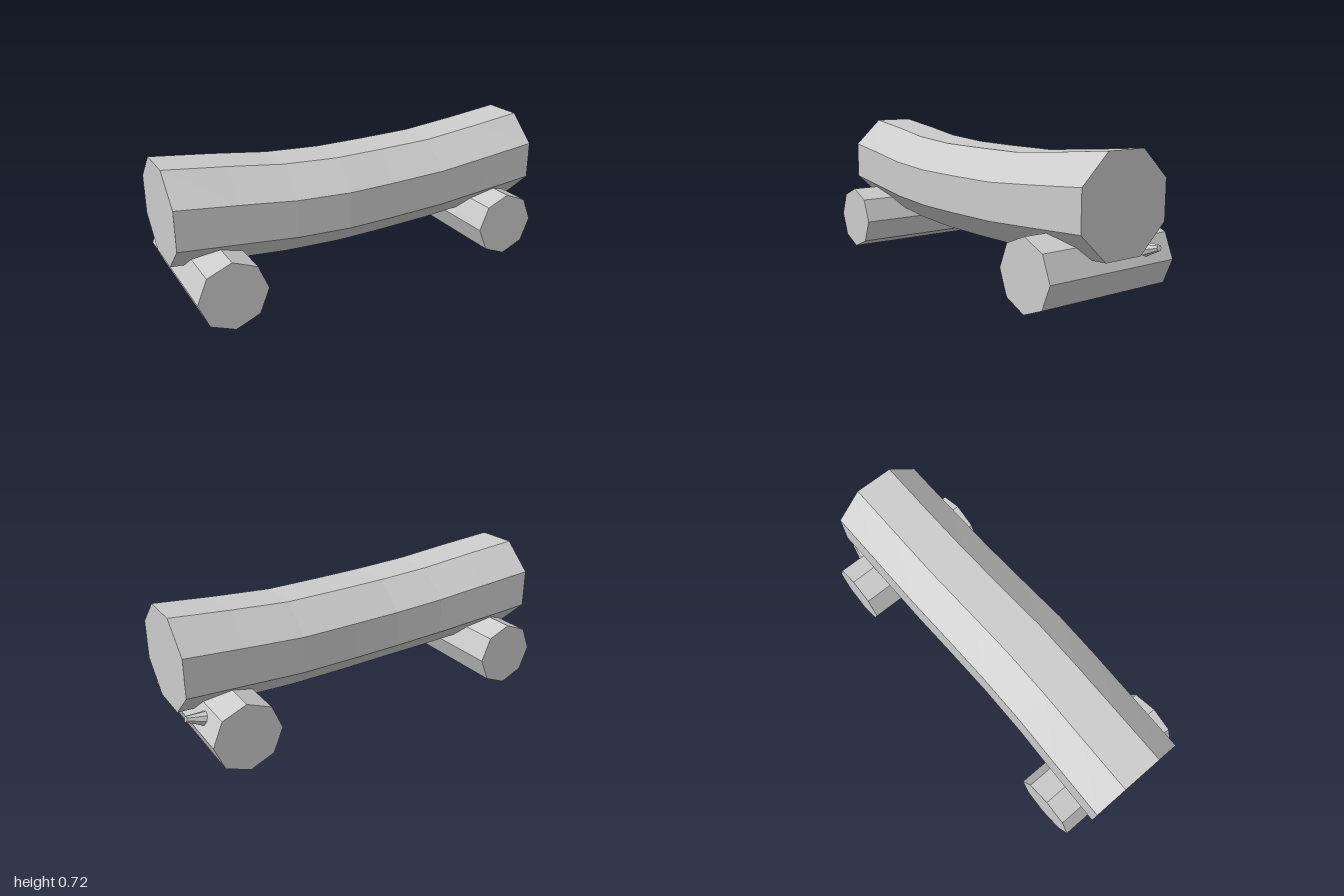
import * as THREE from 'three';

const material = new THREE.MeshStandardMaterial({ color: 0xcccccc, flatShading: true, roughness: 0.9 });

// Bent log: eight-sided sections along x, each [x, centreY, centreZ, halfHeight, halfDepth]
const SECTIONS = [
  [-1.0, 0.482, 0.0, 0.237, 0.25],
  [-0.7, 0.457, 0.015, 0.232, 0.252],
  [-0.43, 0.433, 0.03, 0.225, 0.253],
  [-0.15, 0.422, 0.035, 0.222, 0.255],
  [0.1, 0.421, 0.026, 0.222, 0.252],
  [0.4, 0.424, 0.014, 0.221, 0.25],
  [0.7, 0.445, 0.004, 0.226, 0.247],
  [0.995, 0.468, -0.005, 0.233, 0.246],
];
const SIDES = 8;

function logGeometry() {
  const rings = SECTIONS.map(([x, cy, cz, hy, hz]) =>
    Array.from({ length: SIDES }, (_, k) => {
      const t = ((k - 0.5) * 2 * Math.PI) / SIDES;
      const r = 1 / Math.cos(Math.PI / SIDES);
      return [x, cy + Math.sin(t) * r * hy, cz + Math.cos(t) * r * hz];
    }));
  const positions = [];
  const tri = (a, b, c) => positions.push(...a, ...b, ...c);
  const first = rings[0];
  const last = rings[rings.length - 1];
  for (let k = 0; k < SIDES; k++) {
    const n = (k + 1) % SIDES;
    for (let i = 0; i < rings.length - 1; i++) {
      const a = rings[i][k], b = rings[i][n], c = rings[i + 1][k], d = rings[i + 1][n];
      tri(a, c, b);
      tri(b, c, d);
    }
    // Flat sawn ends
    if (k > 0 && k < SIDES - 1) {
      tri(first[0], first[k], first[n]);
      tri(last[0], last[n], last[k]);
    }
  }
  const geometry = new THREE.BufferGeometry();
  geometry.setAttribute('position', new THREE.Float32BufferAttribute(positions, 3));
  geometry.computeVertexNormals();
  return geometry;
}

// Straight round of wood between two points
function round(name, from, to, rFrom, rTo) {
  const a = new THREE.Vector3(...from);
  const b = new THREE.Vector3(...to);
  const mesh = new THREE.Mesh(new THREE.CylinderGeometry(rTo, rFrom, a.distanceTo(b), SIDES), material);
  mesh.name = name;
  mesh.position.copy(a).add(b).multiplyScalar(0.5);
  mesh.quaternion.setFromUnitVectors(new THREE.Vector3(0, 1, 0), b.sub(a).normalize());
  return mesh;
}

export function createModel() {
  const group = new THREE.Group();
  group.name = 'logBench';

  const seat = new THREE.Mesh(logGeometry(), material);
  seat.name = 'seatLog';
  group.add(seat);

  // Two short logs lying crosswise under the seat
  group.add(round('rightSupportLog', [-0.795, 0.17, -0.355], [-0.795, 0.17, 0.375], 0.17, 0.17));
  group.add(round('leftSupportLog', [0.77, 0.17, -0.38], [0.77, 0.17, 0.35], 0.17, 0.17));

  // Broken twig on the left support
  group.add(round('twigStub', [0.89, 0.229, -0.22], [0.997, 0.257, -0.22], 0.04, 0.015));

  return group;
}
